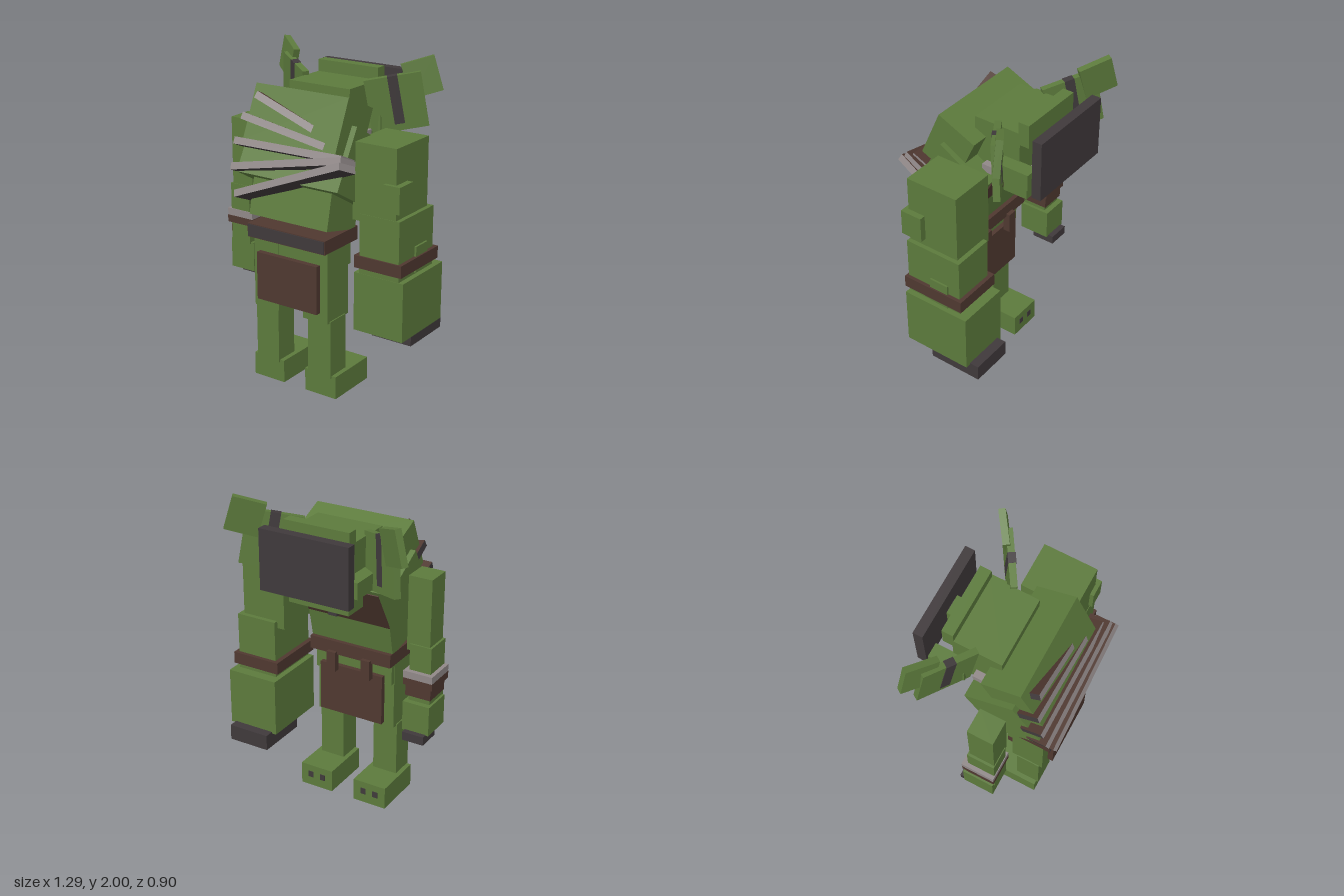
import * as THREE from 'three';

const mat = (name, color) => {
  const m = new THREE.MeshStandardMaterial({ color });
  m.name = name;
  return m;
};

export function createModel() {
  const green = mat('green skin', 0x5c7a3c);
  const brown = mat('brown leather', 0x4f3830);
  const grey = mat('grey bone', 0x908888);
  const dark = mat('charcoal', 0x3f393b);

  const root = new THREE.Group();
  root.name = 'ogre';
  const MID = -0.05; // centre line of the body

  const add = (parent, name, material, geometry) => {
    const mesh = new THREE.Mesh(geometry, material);
    mesh.name = name;
    parent.add(mesh);
    return mesh;
  };
  // axis-aligned box given by its limits
  const span = (parent, name, material, x0, x1, y0, y1, z0, z1) => {
    const mesh = add(parent, name, material, new THREE.BoxGeometry(x1 - x0, y1 - y0, z1 - z0));
    mesh.position.set((x0 + x1) / 2, (y0 + y1) / 2, (z0 + z1) / 2);
    return mesh;
  };
  // box leaning forward about x
  const lean = (name, w, h, d, y, z, angle) => {
    const mesh = add(root, name, green, new THREE.BoxGeometry(w, h, d));
    mesh.position.set(MID, y, z);
    mesh.rotation.x = angle;
    return mesh;
  };

  // legs, feet and toenails, mirrored about the centre line
  for (const s of [-1, 1]) {
    const side = new THREE.Group();
    side.name = s > 0 ? 'leftLeg' : 'rightLeg';
    side.position.x = MID;
    root.add(side);
    const part = (name, m, a, b, ...rest) =>
      span(side, name, m, Math.min(s * a, s * b), Math.max(s * a, s * b), ...rest);
    part('foot', green, 0.08, 0.305, 0, 0.145, -0.03, 0.31);
    part('shin', green, 0.11, 0.275, 0.13, 0.5, 0.165, 0.32);
    part('thigh', green, 0.09, 0.268, 0.49, 0.95, 0.13, 0.34);
    for (const x of [0.15, 0.235])
      part('toenail', dark, x - 0.018, x + 0.018, 0.06, 0.1, -0.034, -0.028);
  }

  // belt and loincloth
  span(root, 'pelvis', green, -0.315, 0.215, 0.8, 0.95, 0.1, 0.335);
  span(root, 'belt', brown, -0.33, 0.23, 0.94, 1.025, 0.05, 0.385);
  span(root, 'beltFront', dark, -0.325, 0.225, 0.945, 1.02, 0.384, 0.39);
  span(root, 'frontCloth', brown, -0.265, 0.17, 0.555, 0.855, 0.35, 0.385);
  span(root, 'backCloth', brown, -0.265, 0.17, 0.53, 0.855, 0.07, 0.105);
  for (const x of [-0.17, 0.07])
    span(root, 'backStrap', brown, x - 0.03, x + 0.03, 0.83, 0.96, 0.025, 0.07);

  // hunched torso
  lean('belly', 0.56, 0.34, 0.29, 1.21, 0.185, -0.22);
  const torso = lean('torso', 0.72, 0.39, 0.35, 1.41, 0.128, -0.52);
  lean('upperBack', 0.65, 0.34, 0.268, 1.623, 0.162, -0.42);
  const patch = add(torso, 'chestPatch', brown, new THREE.BoxGeometry(0.56, 0.3, 0.009));
  patch.position.set(0, 0.02, -0.177);
  span(root, 'pendant', dark, -0.08, -0.02, 1.3, 1.44, -0.15, -0.08);

  // fan of blades on the back: [x0, y0, x1, y1, front z]
  const faces = [grey, dark, brown, dark, grey, brown];
  [
    [-0.325, 1.79, 0.1, 1.635, 0.3],
    [-0.4, 1.66, 0.185, 1.565, 0.335],
    [-0.425, 1.515, 0.33, 1.525, 0.375],
    [-0.42, 1.365, 0.36, 1.53, 0.41],
    [-0.37, 1.215, 0.375, 1.51, 0.44],
  ].forEach(([x0, y0, x1, y1, z]) => {
    const length = Math.hypot(x1 - x0, y1 - y0);
    const blade = add(root, 'backBlade', faces, new THREE.BoxGeometry(length, 0.043, 0.14));
    blade.rotation.set(-0.42, 0, Math.atan2(y1 - y0, x1 - x0), 'ZYX');
    blade.position.set((x0 + x1) / 2, (y0 + y1) / 2 - 0.028, z - 0.064);
  });

  // head
  span(root, 'head', green, -0.265, 0.165, 1.51, 1.832, -0.26, 0.045);
  span(root, 'brow', green, -0.265, 0.165, 1.76, 1.905, -0.32, -0.25);
  span(root, 'jaw', green, -0.25, 0.15, 1.4, 1.515, -0.3, -0.14);
  span(root, 'teeth', grey, -0.2, 0.1, 1.515, 1.56, -0.275, -0.25);
  span(root, 'nose', green, -0.11, 0.01, 1.6, 1.75, -0.385, -0.25);
  span(root, 'noseBridge', dark, -0.09, -0.01, 1.63, 1.72, -0.4, -0.38);
  span(root, 'faceMask', dark, -0.34, 0.24, 1.51, 1.88, -0.455, -0.395);
  span(root, 'neckBone', grey, -0.31, 0.21, 1.52, 1.57, -0.12, -0.035);
  for (const [a, b] of [[-0.35, -0.26], [0.16, 0.25]])
    span(root, 'cheek', green, a, b, 1.55, 1.65, -0.375, -0.15);

  // ears: square plates set along two edge directions, mirrored about the head
  const plate = (name, m, s, centre, u, v, size) => {
    const U = new THREE.Vector3(...u).normalize();
    const N = U.clone().cross(new THREE.Vector3(...v)).normalize();
    const V = N.clone().cross(U);
    const mesh = add(root, name, m, new THREE.BoxGeometry(...size));
    mesh.quaternion.setFromRotationMatrix(new THREE.Matrix4().makeBasis(U, V, N));
    mesh.position.set(...centre);
    if (s < 0) {
      mesh.position.x = 2 * MID - mesh.position.x;
      mesh.quaternion.y *= -1;
      mesh.quaternion.z *= -1;
    }
  };
  for (const s of [-1, 1]) {
    const u = [0.28, 0.06, -0.18], v = [-0.04, 0.32, 0.045];
    plate('ear', green, s, [0.315, 1.723, -0.22], u, v, [0.335, 0.33, 0.04]);
    plate('earMark', dark, s, [0.313, 1.744, -0.216], u, v, [0.06, 0.29, 0.046]);
    plate('earTip', green, s, [0.43, 1.873, -0.31], [0.155, 0.055, -0.11], [-0.06, 0.2, 0.02], [0.2, 0.21, 0.04]);
  }

  // huge left arm
  const big = new THREE.Group();
  big.name = 'leftArm';
  root.add(big);
  span(big, 'upperArm', green, 0.295, 0.585, 1.12, 1.585, -0.14, 0.2);
  span(big, 'forearm', green, 0.345, 0.612, 0.79, 1.165, -0.17, 0.203);
  span(big, 'armBand', brown, 0.315, 0.635, 0.835, 0.91, -0.195, 0.215);
  span(big, 'fist', green, 0.31, 0.645, 0.435, 0.8, -0.235, 0.205);
  span(big, 'fingers', dark, 0.34, 0.612, 0.345, 0.445, -0.295, 0.05);
  span(big, 'upperWart', green, 0.515, 0.623, 1.215, 1.375, 0.085, 0.225);
  span(big, 'lowerWart', green, 0.53, 0.625, 0.81, 0.97, -0.09, 0.035);

  // small right arm
  const small = new THREE.Group();
  small.name = 'rightArm';
  root.add(small);
  span(small, 'upperArm', green, -0.61, -0.46, 1.12, 1.585, 0.01, 0.17);
  span(small, 'forearm', green, -0.625, -0.485, 0.79, 1.165, 0, 0.175);
  span(small, 'boneBand', grey, -0.65, -0.46, 0.955, 1, -0.03, 0.18);
  span(small, 'armBand', brown, -0.65, -0.46, 0.91, 0.955, -0.028, 0.182);
  span(small, 'cuff', brown, -0.635, -0.47, 0.835, 0.91, -0.015, 0.165);
  span(small, 'hand', green, -0.64, -0.465, 0.61, 0.8, -0.035, 0.165);
  span(small, 'fingers', dark, -0.625, -0.485, 0.56, 0.615, -0.07, 0.08);

  return root;
}
